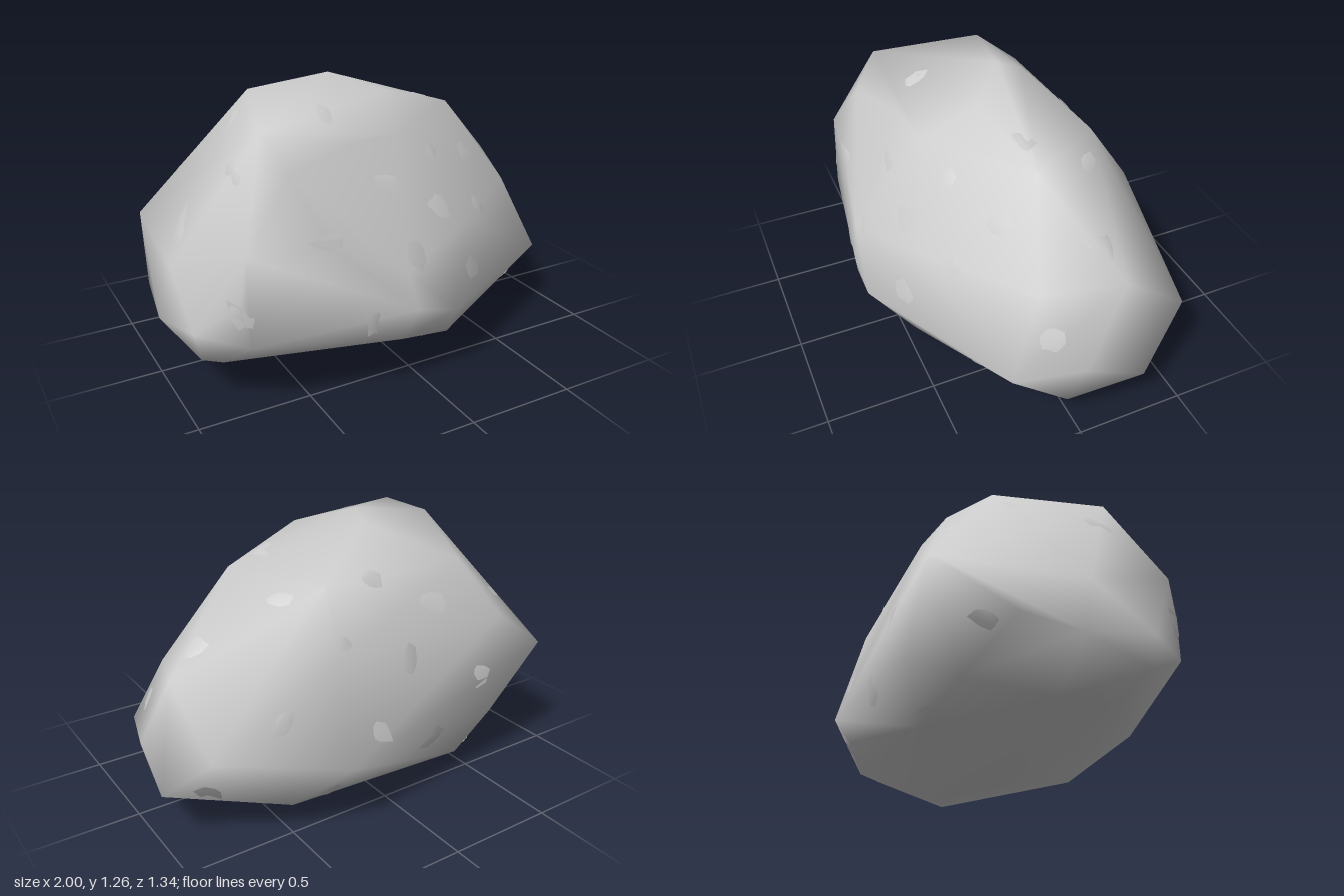
import * as THREE from 'three';
import { ConvexGeometry } from 'three/addons/geometries/ConvexGeometry.js';
import { mergeVertices } from 'three/addons/utils/BufferGeometryUtils.js';

// Corners of the boulder, from the underside up to the peak
const CORNERS = [
  // underside
  [0.02, 0, 0.05], [-0.48, 0.05, -0.44], [-0.82, 0.1, 0], [-0.8, 0.13, 0.27], [0.22, 0.11, 0.48],
  [0.6, 0.06, -0.1], [0.9, 0.12, 0.02], [0.5, 0.14, -0.5], [-0.75, 0.16, -0.36],
  // widest belt
  [0.13, 0.33, 0.67], [-0.06, 0.38, 0.67], [-0.13, 0.25, 0.65], [-0.78, 0.34, 0.56], [-0.92, 0.22, 0.35],
  [-0.95, 0.35, 0.36], [-1, 0.29, 0.04], [-0.97, 0.35, -0.2], [-0.9, 0.57, -0.53], [-0.6, 0.28, -0.53],
  [0.3, 0.33, -0.67], [0.25, 0.21, -0.6], [0.88, 0.48, -0.53], [1, 0.25, -0.29], [0.97, 0.36, -0.02],
  [0.88, 0.33, 0.28],
  // shoulders
  [-0.81, 0.53, 0.54], [-0.1, 0.55, 0.64], [-0.95, 0.55, 0.1], [-0.78, 0.72, 0.54], [-0.45, 0.73, 0.58],
  [0.3, 0.65, 0.48], [0.78, 0.66, 0.12], [0.9, 0.72, -0.22], [0.3, 0.78, -0.55], [-0.65, 0.76, -0.5],
  // crown
  [-0.55, 1.0, 0.46], [-0.2, 1.06, 0.37], [0.02, 1.05, 0.34], [0.5, 1.07, 0], [0.25, 1.04, -0.38],
  [-0.5, 1.02, -0.36], [-0.62, 1.15, 0.34], [-0.47, 1.21, -0.14], [-0.08, 1.22, -0.19], [0.1, 1.19, 0.1],
  [-0.1, 1.26, -0.08],
].map((p) => new THREE.Vector3(...p));

const CENTRE = new THREE.Vector3(0, 0.55, 0);

// Convex solid with normals blended across its edges
function smoothHull(points) {
  let geometry = new ConvexGeometry(points);
  geometry.deleteAttribute('normal');
  geometry = mergeVertices(geometry, 1e-4);
  geometry.computeVertexNormals();
  return geometry;
}

// Where a ray from the centre leaves the boulder, with the face normal there
function surfaceAt(geometry, dir) {
  const pos = geometry.attributes.position, index = geometry.index;
  const a = new THREE.Vector3(), b = new THREE.Vector3(), c = new THREE.Vector3();
  let best = Infinity;
  const normal = new THREE.Vector3();
  for (let i = 0; i < index.count; i += 3) {
    [a, b, c].forEach((v, k) => v.fromBufferAttribute(pos, index.getX(i + k)));
    const n = b.clone().sub(a).cross(c.clone().sub(a)).normalize();
    const facing = n.dot(dir);
    if (facing < 1e-4) continue;
    const t = n.dot(a.clone().sub(CENTRE)) / facing;
    if (t < best) {
      best = t;
      normal.copy(n);
    }
  }
  return { point: CENTRE.clone().addScaledVector(dir, best), normal };
}

function seeded(seed) {
  return () => (seed = (seed * 16807) % 2147483647) / 2147483647;
}

// Ragged disc draped over the boulder: raised in the middle, rim sunk on one side
function flakeGeometry(body, dir, random) {
  const sides = 7;
  const geometry = new THREE.CircleGeometry(1, sides);
  geometry.deleteAttribute('normal');
  geometry.deleteAttribute('uv');
  const { point, normal } = surfaceAt(body, dir);
  const turn = new THREE.Quaternion().setFromUnitVectors(new THREE.Vector3(0, 0, 1), normal);
  const spin = random() * Math.PI * 2;
  const length = 0.08 + 0.08 * random();
  const width = 0.04 + 0.05 * random();
  const reach = Array.from({ length: sides }, () => 0.45 + 0.55 * random());
  const pos = geometry.attributes.position;
  const v = new THREE.Vector3();
  for (let i = 0; i < pos.count; i++) {
    v.fromBufferAttribute(pos, i);
    const lift = i === 0 ? 0.005 : 0.006 * v.x - 0.001;
    if (i > 0) v.multiplyScalar(reach[(i - 1) % sides]);
    v.set(v.x * length, v.y * width, 0).applyAxisAngle(new THREE.Vector3(0, 0, 1), spin);
    v.applyQuaternion(turn).add(point).sub(CENTRE).normalize();
    const hit = surfaceAt(body, v);
    hit.point.addScaledVector(hit.normal, lift);
    pos.setXYZ(i, ...hit.point);
  }
  const merged = mergeVertices(geometry, 1e-5);
  merged.computeVertexNormals();
  return merged;
}

export function createModel() {
  const group = new THREE.Group();
  group.name = 'boulder';
  const stone = new THREE.MeshStandardMaterial({ color: 0xcccccc });
  const thinStone = new THREE.MeshStandardMaterial({ color: 0xcccccc, side: THREE.DoubleSide });

  // Main stone
  const body = new THREE.Mesh(smoothHull(CORNERS), stone);
  body.name = 'stoneBody';
  group.add(body);

  // Shallow flakes spread in a spiral over the faces
  const random = seeded(4217);
  const flakes = new THREE.Group();
  flakes.name = 'surfaceFlakes';
  const count = 36;
  for (let i = 0; i < count; i++) {
    const y = 0.9 - (1.6 * (i + 0.5)) / count;
    const turn = i * 2.39996;
    const r = Math.sqrt(1 - y * y);
    const dir = new THREE.Vector3(r * Math.cos(turn), y, r * Math.sin(turn));
    const flake = new THREE.Mesh(flakeGeometry(body.geometry, dir, random), thinStone);
    flake.name = 'flake';
    flakes.add(flake);
  }
  group.add(flakes);
  return group;
}
